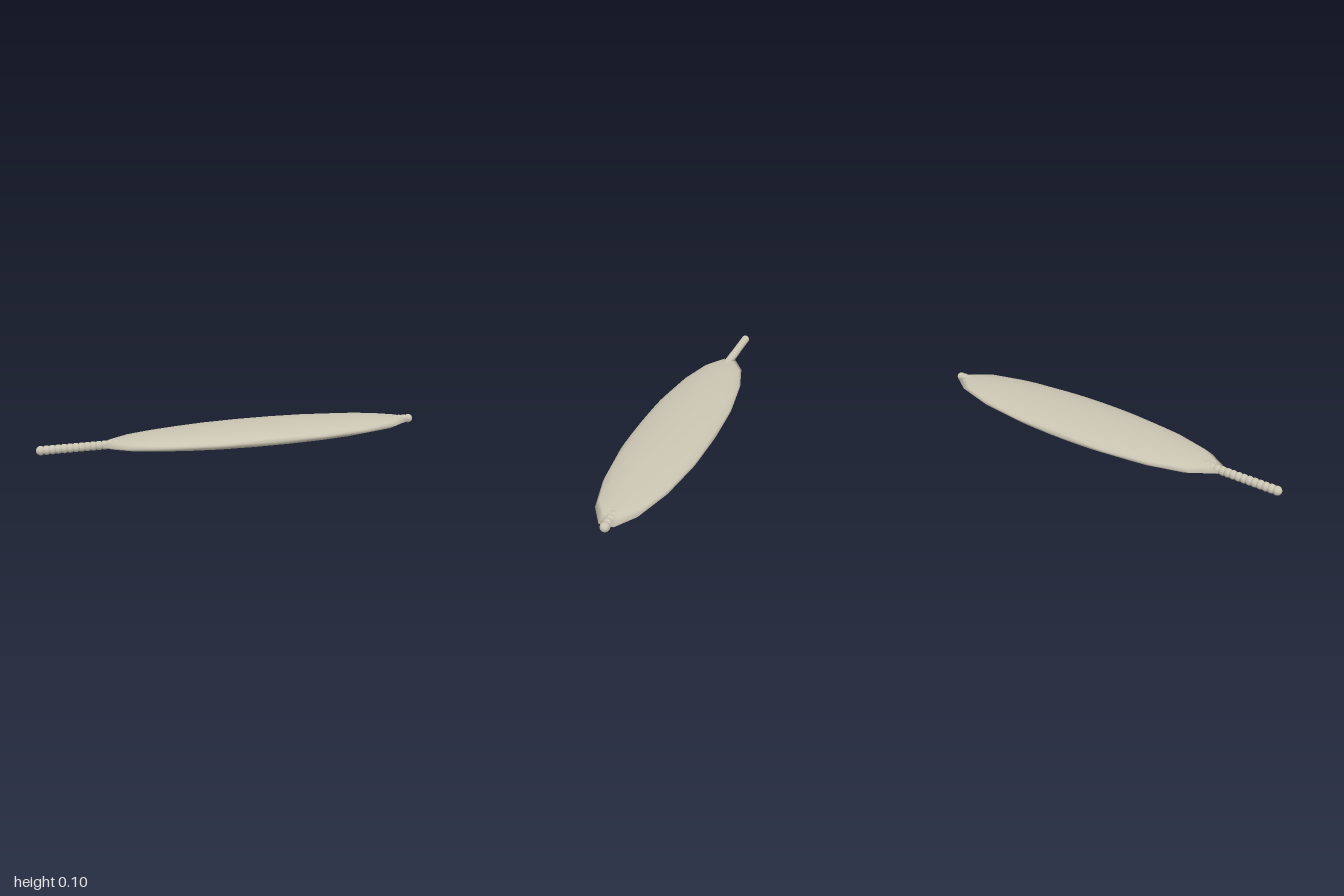
import * as THREE from 'three';

export function createModel() {
  const model = new THREE.Group();
  const stone = new THREE.MeshStandardMaterial({ color: 0xcac4b2 });
  stone.name = 'pale stone';
  const midY = 0.049;

  // Flat lens-shaped blade, with its poles on the two long edges
  const bladeShape = new THREE.SphereGeometry(1, 18, 9);
  bladeShape.rotateX(Math.PI / 2);
  bladeShape.scale(0.84, 0.049, 0.2);
  const blade = new THREE.Mesh(bladeShape, stone);
  blade.name = 'blade';
  blade.position.set(0.14, midY, 0);
  model.add(blade);

  // Beaded cord running through the blade and out past both ends
  const cord = new THREE.Group();
  cord.name = 'beadedCord';
  const beadRadius = 0.023;
  const beadShape = new THREE.SphereGeometry(beadRadius, 16, 12);
  const count = 71;
  for (let i = 0; i < count; i++) {
    const bead = new THREE.Mesh(beadShape, stone);
    bead.name = 'bead';
    bead.position.set(THREE.MathUtils.lerp(-1 + beadRadius, 1 - beadRadius, i / (count - 1)), midY, 0);
    cord.add(bead);
  }
  model.add(cord);

  return model;
}
